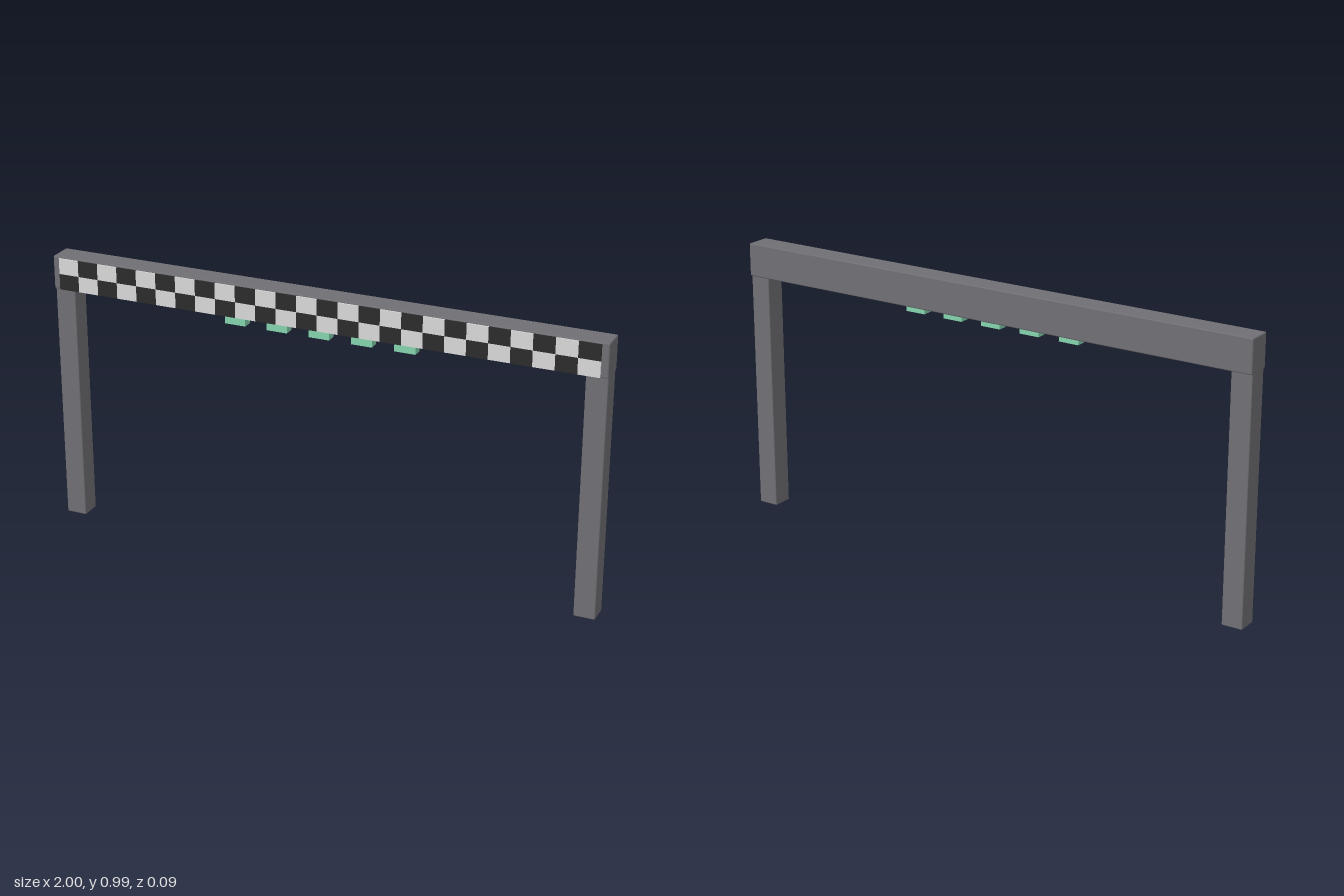
import * as THREE from 'three';
import { RoundedBoxGeometry } from 'three/addons/geometries/RoundedBoxGeometry.js';

const material = (name, color) => {
  const m = new THREE.MeshStandardMaterial({ color });
  m.name = name;
  return m;
};

export function createModel() {
  const gate = new THREE.Group();
  gate.name = 'finishGate';

  const frameGrey = material('frame grey', 0x706f74);
  const tileWhite = material('tile white', 0xd8d8d8);
  const tileBlack = material('tile black', 0x2b2b2b);
  const lampGreen = material('lamp green', 0x84d4ae);

  const add = (parent, name, geometry, mat, x, y, z) => {
    const mesh = new THREE.Mesh(geometry, mat);
    mesh.name = name;
    mesh.position.set(x, y, z);
    parent.add(mesh);
  };

  // Posts and crossbeam with softened edges
  const midZ = -0.002;
  const postShape = new RoundedBoxGeometry(0.075, 0.88, 0.075, 1, 0.004);
  for (const side of [-1, 1]) {
    add(gate, side > 0 ? 'leftPost' : 'rightPost', postShape, frameGrey, side * 0.9615, 0.44, midZ);
  }
  add(gate, 'crossbeam', new RoundedBoxGeometry(2, 0.12, 0.09, 1, 0.005), frameGrey, 0, 0.925, midZ);

  // Two rows of chequered tiles on the front of the beam
  const columns = 26;
  const tileW = 0.075;
  const tileH = 0.0565;
  const tiles = new THREE.Group();
  tiles.name = 'chequeredTiles';
  const tileShape = new THREE.BoxGeometry(tileW, tileH, 0.006);
  for (let row = 0; row < 2; row++) {
    for (let col = 0; col < columns; col++) {
      const white = (row + col) % 2 === 0;
      add(tiles, white ? 'whiteTile' : 'blackTile', tileShape, white ? tileWhite : tileBlack,
        (col - (columns - 1) / 2) * tileW, 0.9515 - row * tileH, 0.045);
    }
  }
  gate.add(tiles);

  // Row of signal lamps under the beam
  const lampShape = new THREE.BoxGeometry(0.075, 0.034, 0.036);
  for (let i = -2; i <= 2; i++) {
    add(gate, 'signalLamp', lampShape, lampGreen, i * 0.154, 0.852, 0.014);
  }
  return gate;
}
